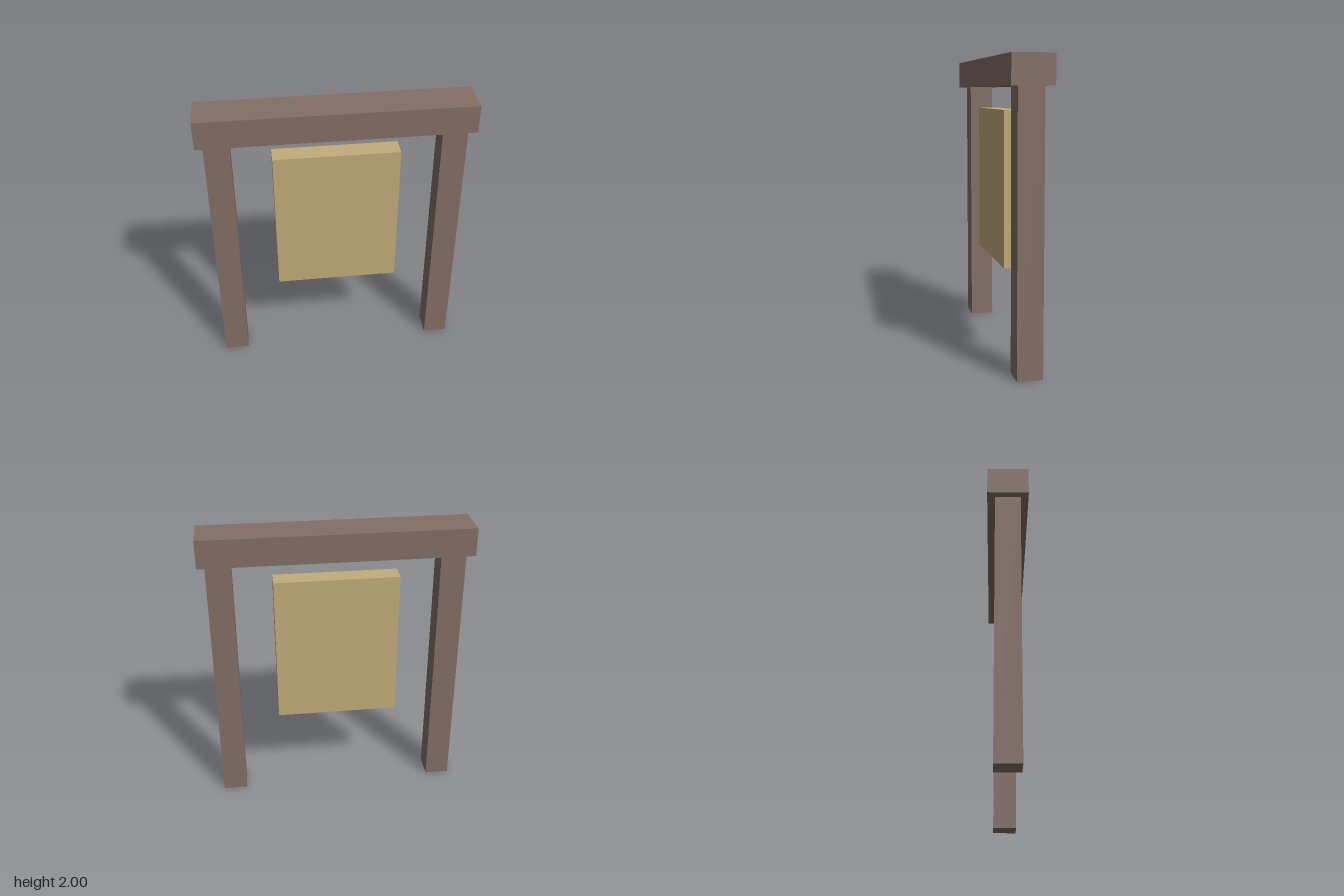
import * as THREE from 'three';

export function createModel() {
  const model = new THREE.Group();
  const wood = new THREE.MeshStandardMaterial({ color: 0x836f65 });
  const straw = new THREE.MeshStandardMaterial({ color: 0xc2ac78 });

  const addBox = (name, material, [w, h, d], x, bottom) => {
    const mesh = new THREE.Mesh(new THREE.BoxGeometry(w, h, d), material);
    mesh.name = name;
    mesh.position.set(x, bottom + h / 2, 0);
    model.add(mesh);
  };

  // Two square posts
  for (const [name, side] of [['leftPost', 1], ['rightPost', -1]]) {
    addBox(name, wood, [0.168, 1.81, 0.168], side * 0.77, 0);
  }

  // Beam across the top, overhanging the posts
  addBox('topBeam', wood, [1.804, 0.19, 0.27], 0, 1.81);

  // Panel floating between the posts
  addBox('hangingPanel', straw, [0.844, 1.04, 0.138], 0, 0.618);

  return model;
}
